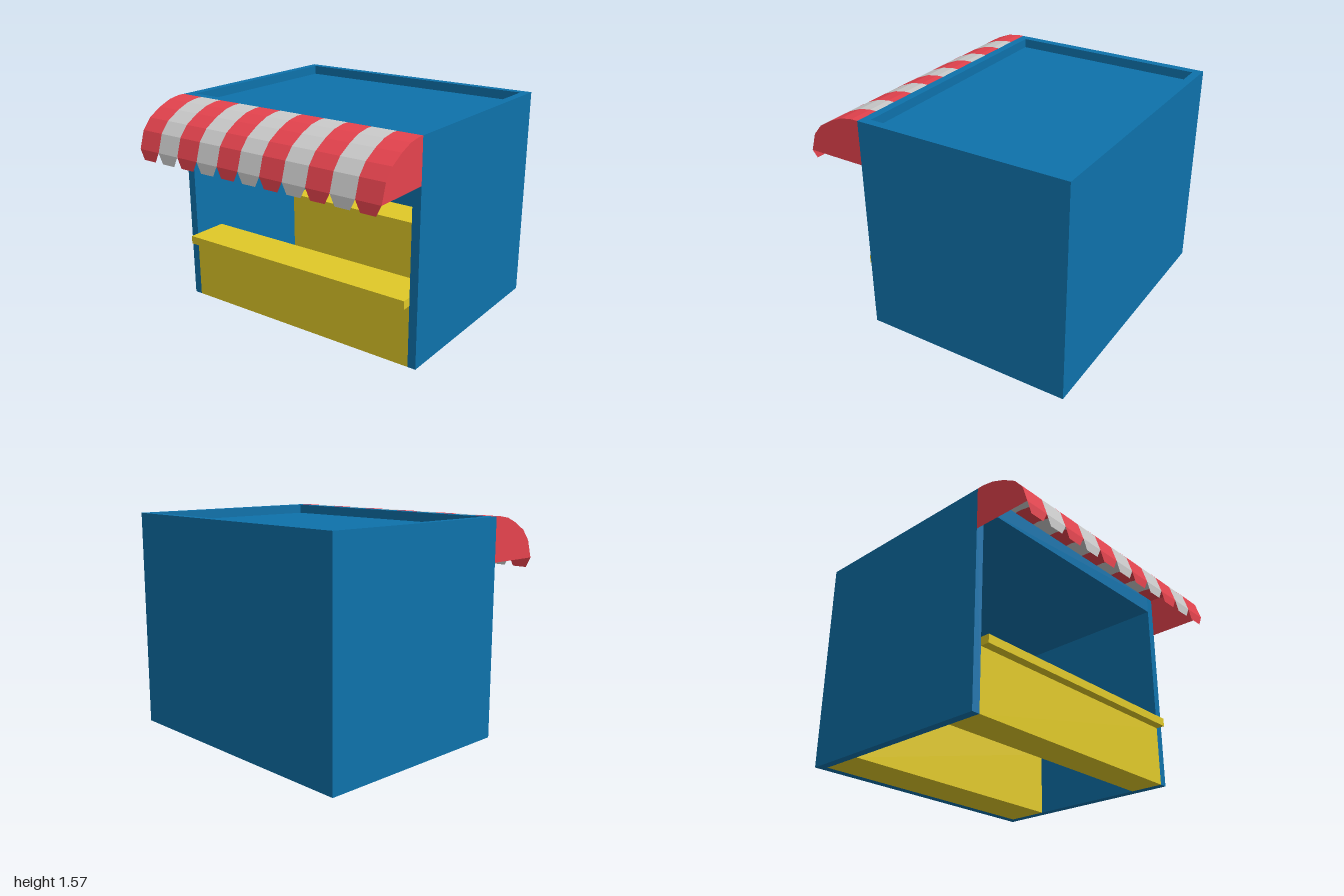
import * as THREE from 'three';

const paint = (color, extra = {}) => new THREE.MeshStandardMaterial({ color, ...extra });
const toShape = (points) => new THREE.Shape(points.map(([a, b]) => new THREE.Vector2(a, b)));

const H = 1.567, FRONT = 0.55, BACK = -0.983, WALL = 0.06;
const INNER = 1 - WALL;

// Awning section from the roof edge to the front lip, as [z, y]
const ARC = [[FRONT, H], [0.6, H], [0.685, 1.553], [0.78, 1.515], [0.878, 1.457], [0.943, 1.38], [0.983, 1.253]];
const STRIPES = 11, FLAP_Y = 1.18, FLAP_INSET = 0.036;

// Extrudes a [z, y] section across the width, centred on x = 0
function acrossX(section, width) {
  return new THREE.ExtrudeGeometry(toShape(section), { depth: width, bevelEnabled: false })
    .rotateY(-Math.PI / 2).translate(width / 2, 0, 0);
}

// One awning stripe: curved strip ending in a tapered flap
function stripeGeometry(width) {
  const geo = new THREE.PlaneGeometry(width, 1, 1, ARC.length);
  const pos = geo.attributes.position;
  for (let i = 0; i < pos.count; i++) {
    const row = Math.floor(i / 2);
    const flap = row === ARC.length;
    const [z, y] = flap ? [ARC[row - 1][0], FLAP_Y] : ARC[row];
    const half = width / 2 - (flap ? FLAP_INSET : 0);
    pos.setXYZ(i, i % 2 ? half : -half, y, z);
  }
  geo.computeVertexNormals();
  return geo;
}

export function createModel() {
  const group = new THREE.Group();
  const blue = paint(0x0e72ab);
  const yellow = paint(0xe0c928);
  const red = paint(0xe6434e, { side: THREE.DoubleSide, flatShading: true });
  const white = paint(0xcccccc, { side: THREE.DoubleSide, flatShading: true });

  function add(name, geometry, material, parent = group) {
    const mesh = new THREE.Mesh(geometry, material);
    mesh.name = name;
    parent.add(mesh);
    return mesh;
  }

  // Side and back walls as one U-shaped plan, open at the front
  const plan = toShape([
    [-1, BACK], [1, BACK], [1, FRONT], [INNER, FRONT],
    [INNER, BACK + WALL], [-INNER, BACK + WALL], [-INNER, FRONT], [-1, FRONT],
  ]);
  add('walls', new THREE.ExtrudeGeometry(plan, { depth: H, bevelEnabled: false })
    .rotateX(Math.PI / 2).translate(0, H, 0), blue);

  // Sunken roof panel and the front beam that closes its rim
  const roofDepth = FRONT - BACK - 2 * WALL;
  add('roof', new THREE.BoxGeometry(2 * INNER, WALL, roofDepth), blue)
    .position.set(0, 1.47, (FRONT + BACK) / 2);
  add('frontBeam', new THREE.BoxGeometry(2 * INNER, H - 1.44, WALL), blue)
    .position.set(0, (H + 1.44) / 2, FRONT - WALL / 2);

  // Serving counter with an overhanging lip
  add('counter', acrossX([
    [0.295, 0], [FRONT, 0], [FRONT, 0.44], [0.615, 0.44], [0.615, 0.5], [0.295, 0.5],
  ], 2 * INNER), yellow);

  // Work bench along the back wall
  add('backBench', acrossX([
    [BACK + WALL, 0], [-0.6, 0], [-0.6, 0.5], [BACK + WALL, 0.5],
  ], 2 * INNER), yellow);

  // Striped awning with closed ends
  const awning = new THREE.Group();
  awning.name = 'awning';
  group.add(awning);
  const width = 2 / STRIPES;
  const stripe = stripeGeometry(width);
  for (let i = 0; i < STRIPES; i++) {
    add('awningStripe', stripe, i % 2 ? white : red, awning)
      .position.x = -1 + (i + 0.5) * width;
  }
  const end = new THREE.ShapeGeometry(toShape([...ARC, [FRONT, 1.253]])).rotateY(-Math.PI / 2);
  for (const x of [-1, 1]) add('awningEnd', end, red, awning).position.x = x;

  return group;
}
